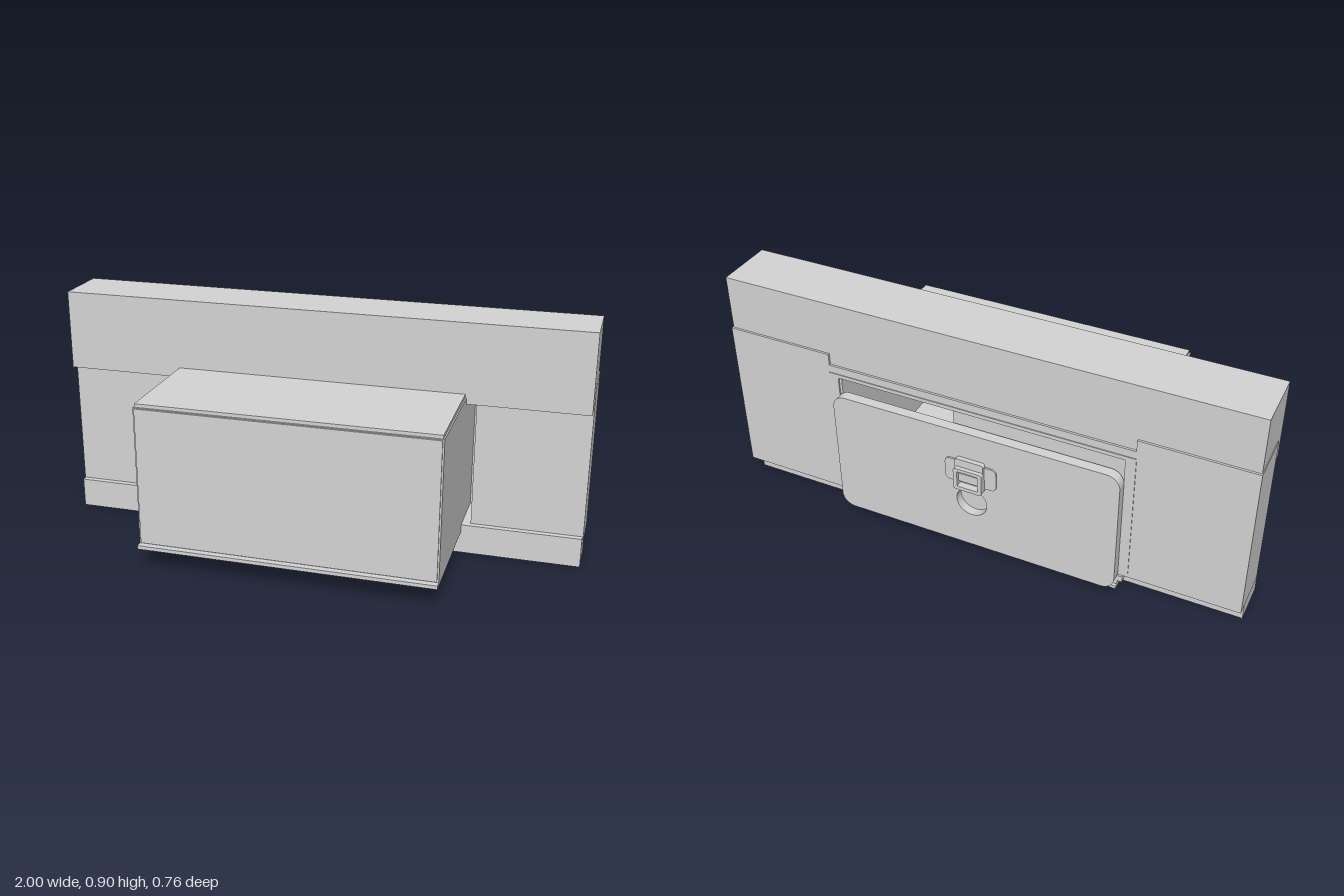
import * as THREE from 'three';

const grey = new THREE.MeshStandardMaterial({ color: 0xd5d5d5 });
grey.name = 'light grey';

export function createModel() {
  const model = new THREE.Group();
  model.name = 'wallHatch';

  const add = (name, geometry) => {
    const mesh = new THREE.Mesh(geometry, grey);
    mesh.name = name;
    model.add(mesh);
    return mesh;
  };

  // Box given by its limits on each axis
  const box = (name, x0, x1, y0, y1, z0, z1) => {
    const mesh = add(name, new THREE.BoxGeometry(x1 - x0, y1 - y0, z1 - z0));
    mesh.position.set((x0 + x1) / 2, (y0 + y1) / 2, (z0 + z1) / 2);
  };

  // Rectangle with optional rounded corners
  const outline = (x0, x1, y0, y1, r = 0, Type = THREE.Shape) => {
    const s = new Type();
    if (!r) {
      s.moveTo(x0, y0); s.lineTo(x1, y0); s.lineTo(x1, y1); s.lineTo(x0, y1); s.closePath();
      return s;
    }
    s.absarc(x1 - r, y0 + r, r, -Math.PI / 2, 0);
    s.absarc(x1 - r, y1 - r, r, 0, Math.PI / 2);
    s.absarc(x0 + r, y1 - r, r, Math.PI / 2, Math.PI);
    s.absarc(x0 + r, y0 + r, r, Math.PI, Math.PI * 1.5);
    s.closePath();
    return s;
  };
  const hole = (x0, x1, y0, y1, r) => outline(x0, x1, y0, y1, r, THREE.Path);

  const slab = (name, shape, z0, z1, holes = []) => {
    shape.holes.push(...holes);
    const mesh = add(name, new THREE.ExtrudeGeometry(shape, { depth: z1 - z0, bevelEnabled: false, curveSegments: 16 }));
    mesh.position.z = z0;
  };

  // Wall: upper beam, lower rail and a panel with a stepped top edge
  box('upperBeam', -0.997, 0.997, 0.598, 0.9, -0.295, -0.07);
  box('lowerRail', -0.997, 0.997, 0, 0.113, -0.245, -0.087);
  const panel = new THREE.Shape([
    [-1, 0.08], [1, 0.08], [1, 0.69], [0.585, 0.69], [0.585, 0.645],
    [-0.585, 0.645], [-0.585, 0.69], [-1, 0.69],
  ].map(([x, y]) => new THREE.Vector2(x, y)));
  slab('wallPanel', panel, -0.303, -0.11, [hole(-0.585, 0.585, 0.111, 0.6)]);

  // Hollow cabinet running through the wall, with a gap at each side
  slab('cabinetShell', outline(-0.553, 0.553, 0.097, 0.622), -0.3, 0.357, [hole(-0.54, 0.54, 0.114, 0.597)]);
  box('cabinetFront', -0.547, 0.547, 0.1, 0.619, 0.345, 0.362);
  box('cabinetLid', -0.548, 0.548, 0.62, 0.635, -0.1, 0.352);
  box('cabinetFloor', -0.553, 0.553, 0.083, 0.097, -0.1, 0.382);

  // Trim around the opening at the back
  slab('backFrame', outline(-0.588, 0.588, 0.1, 0.615), -0.306, -0.299, [hole(-0.55, 0.55, 0.115, 0.6)]);
  box('innerFlap', -0.54, 0.09, 0.5, 0.596, -0.298, -0.288);

  // Door with a round finger recess
  const finger = new THREE.Path();
  finger.absarc(0, 0.25, 0.06, 0, Math.PI * 2);
  slab('door', outline(-0.553, 0.553, 0.045, 0.553, 0.05), -0.349, -0.315, [finger]);
  slab('doorLining', outline(-0.553, 0.553, 0.045, 0.553, 0.05), -0.315, -0.31);
  slab('doorSeal', outline(-0.53, 0.53, 0.115, 0.53, 0.03), -0.31, -0.302, [hole(-0.51, 0.51, 0.135, 0.51, 0.02)]);

  // Latch: base plate, raised tongue and square ring
  slab('latchPlate', outline(-0.1, 0.1, 0.335, 0.43, 0.02), -0.355, -0.348);
  slab('latchTongue', outline(-0.055, 0.055, 0.32, 0.445, 0.01), -0.366, -0.348, [hole(-0.04, 0.04, 0.335, 0.4)]);
  slab('latchRing', outline(-0.055, 0.055, 0.32, 0.413, 0.01), -0.381, -0.366, [hole(-0.04, 0.04, 0.335, 0.4)]);
  box('latchButton', -0.04, 0.04, 0.35, 0.385, -0.368, -0.352);

  // Hinge bar under the door, with narrow brackets at both ends
  const rod = (name, x, length, radius) => {
    const mesh = add(name, new THREE.CylinderGeometry(radius, radius, length, 24));
    mesh.rotation.z = Math.PI / 2;
    mesh.position.set(x, 0.033, -0.297);
  };
  rod('hingeCollar', 0, 0.03, 0.019);
  box('hingeLeaf', -0.012, 0.012, 0.025, 0.038, -0.322, -0.245);
  for (const side of [-1, 1]) {
    rod('hingeRod', side * 0.165, 0.29, 0.017);
    const x = side * 0.54;
    box('bracketPlate', x - 0.012, x + 0.012, 0.025, 0.038, -0.322, -0.245);
    box('bracketBlock', x - 0.03, x + 0.03, 0.055, 0.08, -0.31, -0.245);
    box('bracketWeb', x - 0.012, x + 0.012, 0.038, 0.055, -0.31, -0.265);
  }

  return model;
}
